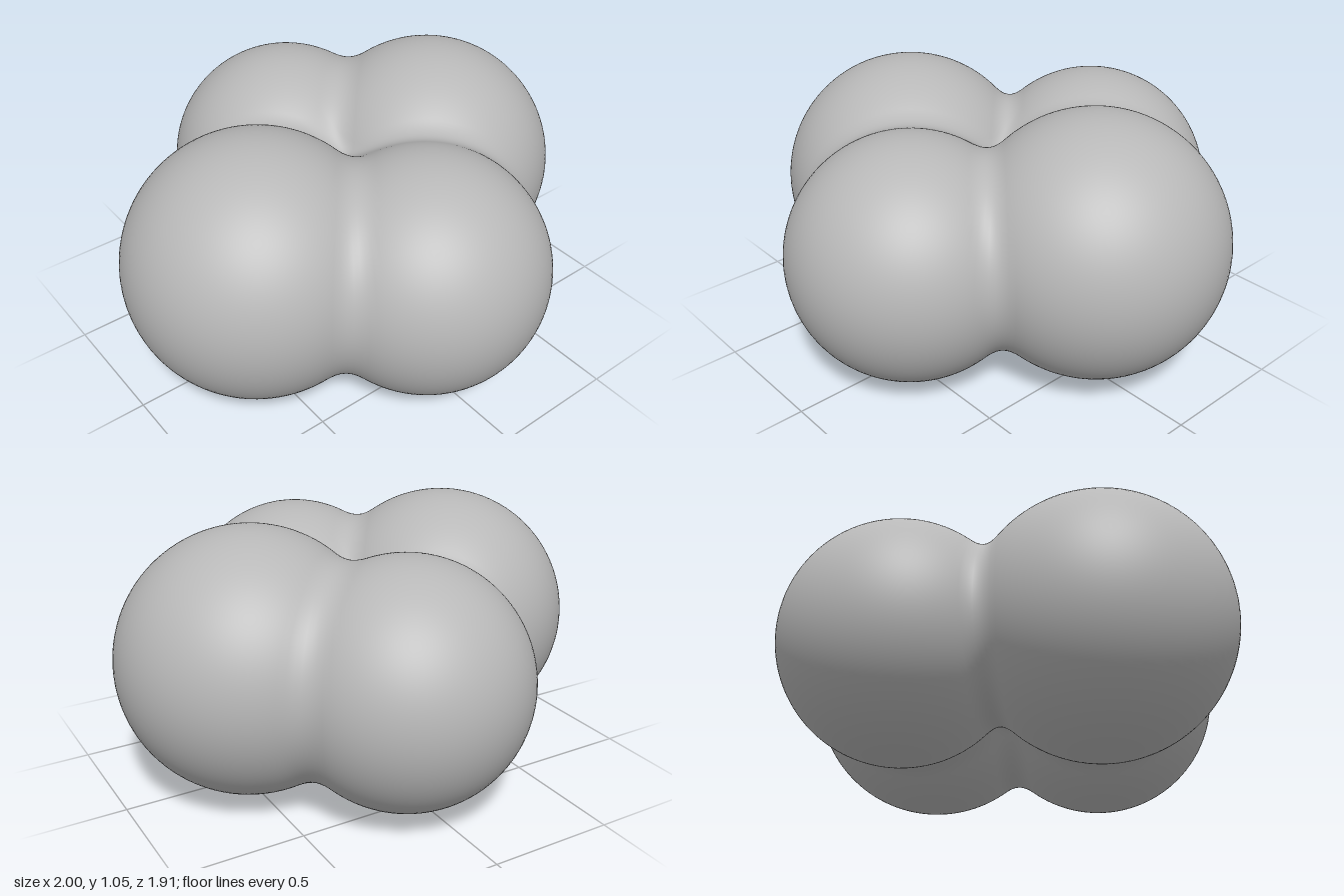
import * as THREE from 'three';

// Four lobes: centre x, y, z and radius
const LOBES = [
  [-0.482, 0.518, 0.08, 0.518],
  [0.48, 0.536, -0.05, 0.516],
  [0.02, 0.484, 0.47, 0.482],
  [0.05, 0.504, -0.475, 0.481],
];
const BLEND = 0.085;
const CORE = new THREE.Vector3(0, 0.52, 0);

// Smooth minimum, which fillets the creases between lobes
function smoothMin(a, b) {
  const h = Math.max(BLEND - Math.abs(a - b), 0) / BLEND;
  return Math.min(a, b) - h * h * BLEND / 4;
}

// Signed distance to the blended lobes
function field(x, y, z) {
  return LOBES
    .map(([cx, cy, cz, r]) => Math.hypot(x - cx, y - cy, z - cz) - r)
    .reduce(smoothMin);
}

// Push a sphere outwards from the core onto the blended surface
function blendedLobes() {
  const geometry = new THREE.SphereGeometry(1, 192, 128);
  const pos = geometry.attributes.position;
  const normal = geometry.attributes.normal;
  const dir = new THREE.Vector3();
  const p = new THREE.Vector3();
  const n = new THREE.Vector3();
  const e = 0.002;
  for (let i = 0; i < pos.count; i++) {
    dir.fromBufferAttribute(pos, i).normalize();
    let lo = 0, hi = 1.3;
    for (let k = 0; k < 22; k++) {
      const mid = (lo + hi) / 2;
      p.copy(CORE).addScaledVector(dir, mid);
      if (field(p.x, p.y, p.z) < 0) lo = mid;
      else hi = mid;
    }
    pos.setXYZ(i, p.x, p.y, p.z);
    // Smooth normal from the slope of the field
    n.set(
      field(p.x + e, p.y, p.z) - field(p.x - e, p.y, p.z),
      field(p.x, p.y + e, p.z) - field(p.x, p.y - e, p.z),
      field(p.x, p.y, p.z + e) - field(p.x, p.y, p.z - e),
    ).normalize();
    normal.setXYZ(i, n.x, n.y, n.z);
  }
  return geometry;
}

export function createModel() {
  const grey = new THREE.MeshStandardMaterial({ color: 0xb8b8b8 });
  grey.name = 'light grey';
  const body = new THREE.Mesh(blendedLobes(), grey);
  body.name = 'blendedLobes';
  const group = new THREE.Group();
  group.name = 'fourLobedCluster';
  group.add(body);
  return group;
}
